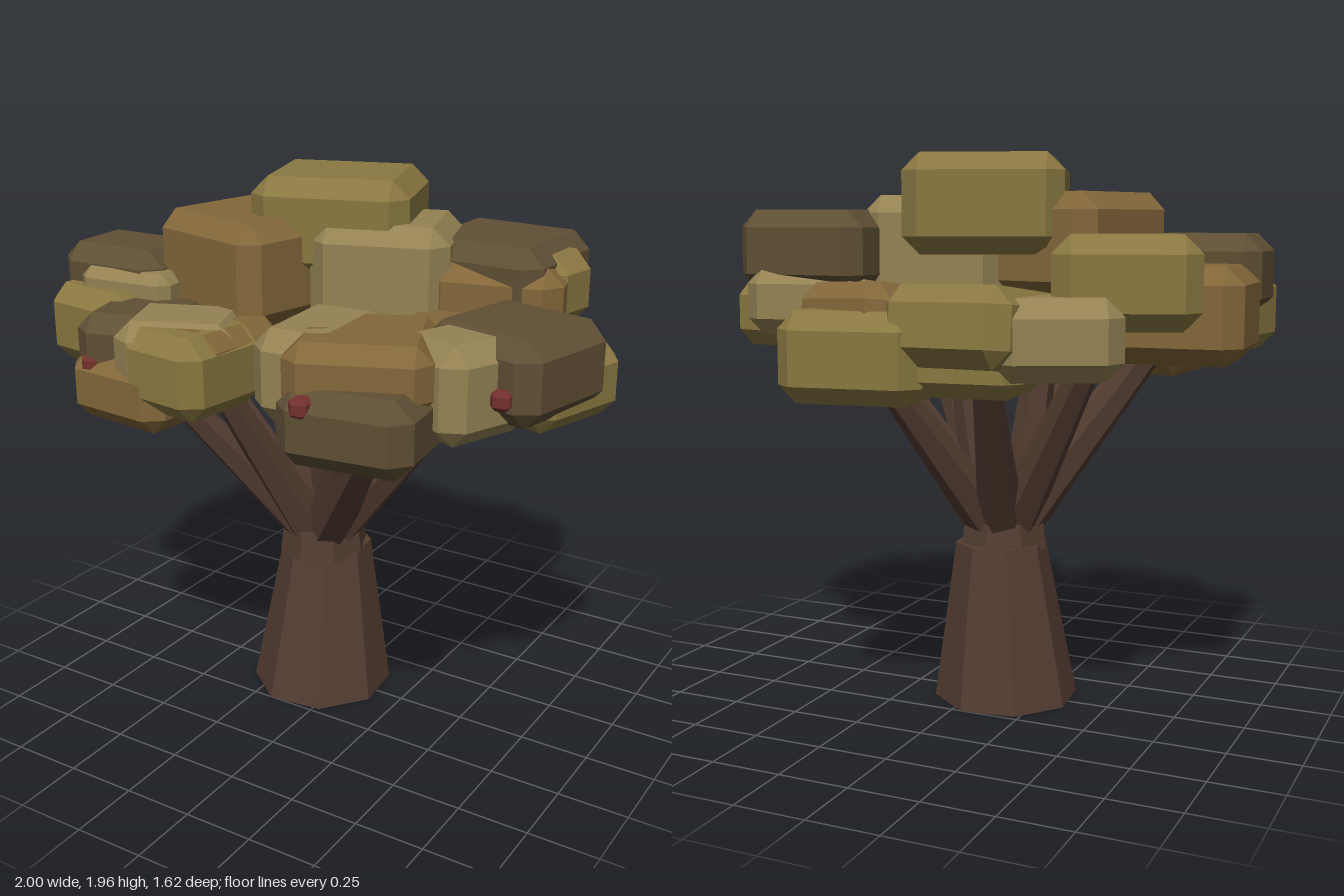
import * as THREE from 'three';
import { ConvexGeometry } from 'three/addons/geometries/ConvexGeometry.js';

const mat = (color) => new THREE.MeshStandardMaterial({ color, flatShading: true });
const bark = mat(0x543d32);
const berryRed = mat(0x74302d);
const leaf = {
  olive: mat(0x8a7841),
  brown: mat(0x83673a),
  khaki: mat(0x948253),
  dark: mat(0x5f4f34),
};

// Box with all edges and corners cut off
function chamferBox(w, h, d, c) {
  const pts = [];
  for (const sx of [-1, 1]) for (const sy of [-1, 1]) for (const sz of [-1, 1]) {
    const x = w / 2, y = h / 2, z = d / 2;
    pts.push(new THREE.Vector3(sx * x, sy * (y - c), sz * (z - c)));
    pts.push(new THREE.Vector3(sx * (x - c), sy * y, sz * (z - c)));
    pts.push(new THREE.Vector3(sx * (x - c), sy * (y - c), sz * z));
  }
  return new ConvexGeometry(pts);
}

// Tapered limb between two points
function limb(a, b, r0, r1, sides, name) {
  const dir = b.clone().sub(a);
  const mesh = new THREE.Mesh(new THREE.CylinderGeometry(r1, r0, dir.length(), sides), bark);
  mesh.position.copy(a).add(b).multiplyScalar(0.5);
  mesh.quaternion.setFromUnitVectors(new THREE.Vector3(0, 1, 0), dir.normalize());
  mesh.name = name;
  return mesh;
}

// Foliage by cluster: [tone, x, y, z, width, height, depth, turn, tilt] with angles in degrees
const clusters = {
  crownFoliage: [
    ['olive', -0.07, 1.79, -0.09, 0.55, 0.34, 0.47, 18],
    ['brown', -0.315, 1.65, 0.07, 0.51, 0.36, 0.54, -14],
    ['khaki', 0.125, 1.635, -0.08, 0.48, 0.37, 0.42, 18],
  ],
  backLeftFoliage: [
    ['dark', 0.47, 1.63, -0.26, 0.49, 0.28, 0.47, -2],
    ['brown', 0.51, 1.58, -0.21, 0.46, 0.26, 0.42, 12],
    ['olive', 0.64, 1.61, -0.26, 0.26, 0.25, 0.25, -12],
    ['khaki', 0.47, 1.46, -0.30, 0.44, 0.23, 0.42, 10],
  ],
  leftFoliage: [
    ['dark', 0.735, 1.47, 0.18, 0.45, 0.28, 0.44, -13],
    ['olive', 0.74, 1.39, 0.035, 0.44, 0.25, 0.41, -17],
    ['khaki', 0.65, 1.44, 0.36, 0.30, 0.32, 0.36, -22],
    ['brown', 0.46, 1.42, 0.06, 0.38, 0.26, 0.34, 14],
  ],
  frontLeftFoliage: [
    ['brown', 0.37, 1.49, 0.49, 0.46, 0.22, 0.44, 23],
    ['dark', 0.42, 1.345, 0.57, 0.45, 0.25, 0.43, 7],
    ['khaki', 0.20, 1.45, 0.47, 0.31, 0.30, 0.43, 4],
    ['olive', 0.31, 1.44, 0.36, 0.38, 0.24, 0.34, 6],
  ],
  frontRightFoliage: [
    ['dark', -0.51, 1.42, 0.46, 0.40, 0.24, 0.37, 15],
    ['khaki', -0.33, 1.42, 0.49, 0.42, 0.25, 0.34, 22],
    ['olive', -0.26, 1.39, 0.54, 0.35, 0.28, 0.37, -8],
    ['brown', -0.25, 1.42, 0.46, 0.34, 0.22, 0.40, -6],
    ['brown', -0.48, 1.29, 0.50, 0.42, 0.24, 0.40, -6],
  ],
  rightFoliage: [
    ['dark', -0.77, 1.55, 0.21, 0.43, 0.28, 0.34, 2],
    ['brown', -0.77, 1.43, -0.08, 0.46, 0.32, 0.42, 4],
    ['olive', -0.76, 1.42, 0.33, 0.40, 0.28, 0.34, -9],
    ['khaki', -0.68, 1.55, 0.28, 0.37, 0.15, 0.26, 5],
  ],
  backRightFoliage: [
    ['olive', -0.645, 1.54, -0.31, 0.47, 0.30, 0.40, 21],
  ],
  backFoliage: [
    ['olive', -0.22, 1.39, -0.53, 0.47, 0.26, 0.46, -8, 7],
    ['brown', 0.15, 1.395, -0.47, 0.42, 0.25, 0.44, -18, 7],
    ['olive', 0.16, 1.30, -0.52, 0.49, 0.30, 0.53, 8],
    ['khaki', -0.48, 1.37, -0.50, 0.41, 0.26, 0.35, 27],
    ['olive', -0.20, 1.29, -0.50, 0.42, 0.22, 0.38, 6],
  ],
};

export function createModel() {
  const tree = new THREE.Group();
  tree.name = 'tree';

  // Trunk and the collar where the branches meet
  const base = new THREE.Vector3(-0.105, 0, 0);
  const trunkGeo = new THREE.CylinderGeometry(0.164, 0.262, 0.58, 8).rotateY(Math.PI / 8 + 0.12);
  const pos = trunkGeo.attributes.position;
  for (let i = 0; i < pos.count; i++) {
    if (pos.getY(i) > 0) {
      pos.setX(i, pos.getX(i) + 0.012);
      pos.setZ(i, pos.getZ(i) - 0.022);
    }
  }
  const trunk = new THREE.Mesh(trunkGeo, bark);
  trunk.position.set(base.x, 0.29, base.z);
  trunk.name = 'trunk';
  tree.add(trunk);
  tree.add(limb(new THREE.Vector3(-0.095, 0.56, 0), new THREE.Vector3(-0.095, 0.665, 0), 0.165, 0.152, 8, 'collar'));

  // Branches fan out from the collar to each cluster
  const tips = [
    [0.42, 1.30, 0.46], [0.28, 1.34, 0.36], [0.58, 1.38, 0.08], [0.45, 1.46, -0.28],
    [0.17, 1.27, -0.50], [-0.24, 1.27, -0.50], [-0.60, 1.45, -0.30], [-0.70, 1.40, 0.08],
    [-0.48, 1.27, 0.44], [-0.28, 1.33, 0.42], [-0.25, 1.52, 0.06], [0.08, 1.50, -0.06],
  ];
  const branches = new THREE.Group();
  branches.name = 'branches';
  for (const [x, y, z] of tips) {
    const out = new THREE.Vector3(x - base.x, 0, z).normalize().multiplyScalar(0.055);
    const foot = new THREE.Vector3(-0.095, 0.645, 0).add(out);
    branches.add(limb(foot, new THREE.Vector3(x, y, z), 0.086, 0.042, 6, 'branch'));
  }
  tree.add(branches);

  // Foliage blocks
  for (const [name, blocks] of Object.entries(clusters)) {
    const group = new THREE.Group();
    group.name = name;
    for (const [tone, x, y, z, w, h, d, turn, tilt = 0] of blocks) {
      const c = Math.min(0.06, h * 0.24);
      const block = new THREE.Mesh(chamferBox(w, h, d, c), leaf[tone]);
      block.position.set(x, y, z);
      block.rotation.set(THREE.MathUtils.degToRad(tilt), THREE.MathUtils.degToRad(turn), 0);
      block.name = 'leafBlock';
      group.add(block);
    }
    tree.add(group);
  }

  // Berries
  for (const [x, y, z] of [[0.32, 1.42, 0.775], [0.81, 1.43, 0.425], [-0.6, 1.37, 0.65]]) {
    const berry = new THREE.Mesh(chamferBox(0.066, 0.066, 0.066, 0.016), berryRed);
    berry.position.set(x, y, z);
    berry.name = 'berry';
    tree.add(berry);
  }
  return tree;
}
